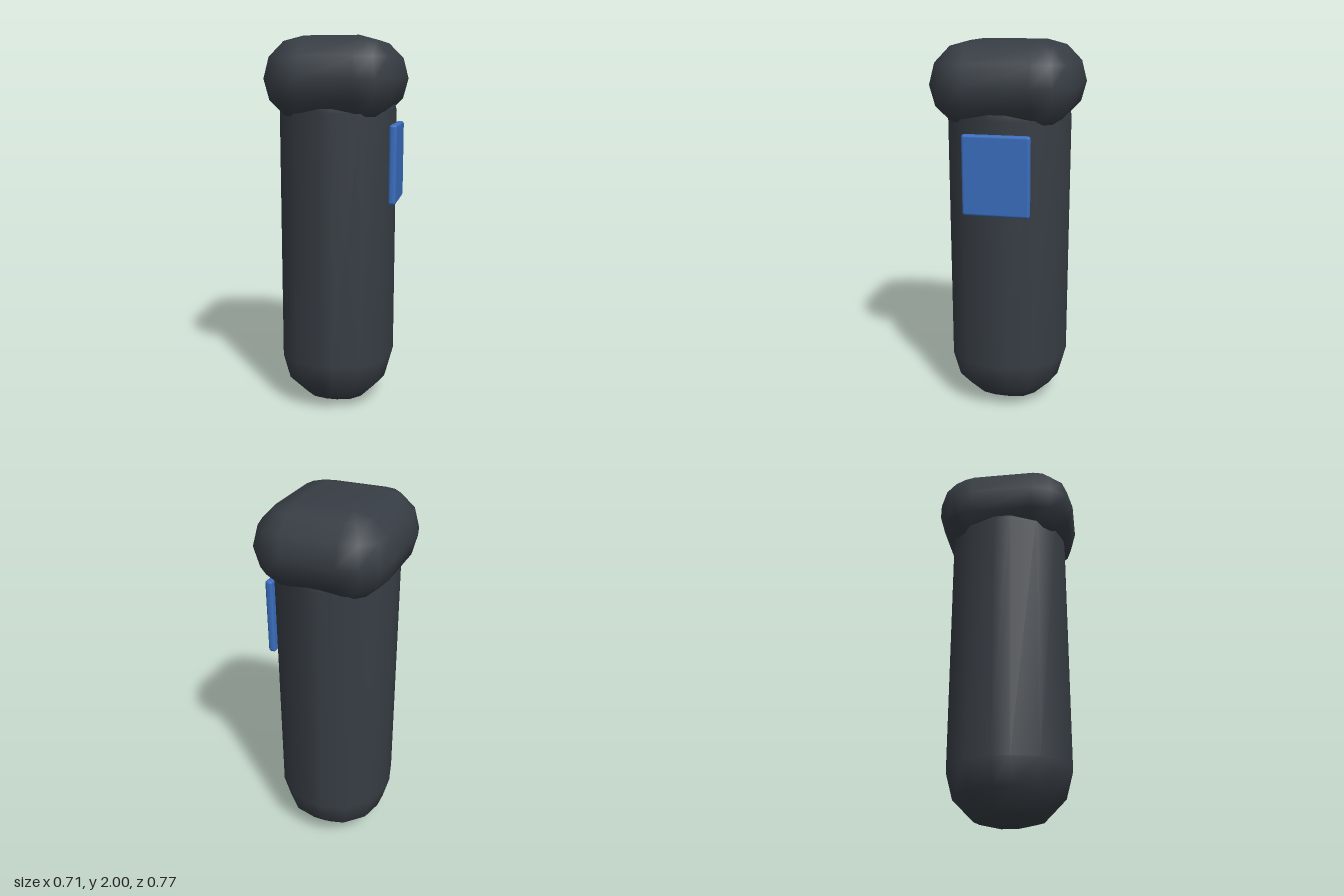
import * as THREE from 'three';
import { mergeVertices } from 'three/addons/utils/BufferGeometryUtils.js';

const STEPS = 3; // segments per rounded quarter turn

// Box with rounded edges and corners, built from stacked horizontal rings
function roundedBlock(width, height, depth, r) {
  const cx = width / 2 - r, cy = height / 2 - r, cz = depth / 2 - r;
  const positions = [], index = [];
  const ringSize = 4 * (STEPS + 1);
  const rings = 2 * (STEPS + 1);
  for (let i = 0; i < rings; i++) {
    const upper = i > STEPS;
    const lat = ((upper ? i - STEPS - 1 : i - STEPS) / STEPS) * Math.PI / 2;
    const y = (upper ? cy : -cy) + r * Math.sin(lat);
    for (let c = 0; c < 4; c++) {
      const sx = c === 0 || c === 3 ? 1 : -1;
      const sz = c < 2 ? 1 : -1;
      for (let k = 0; k <= STEPS; k++) {
        const a = (c + k / STEPS) * Math.PI / 2;
        positions.push(
          sx * cx + r * Math.cos(lat) * Math.cos(a),
          y,
          sz * cz + r * Math.cos(lat) * Math.sin(a));
      }
    }
  }
  for (let i = 0; i < rings - 1; i++) {
    for (let j = 0; j < ringSize; j++) {
      const a = i * ringSize + j, b = i * ringSize + (j + 1) % ringSize;
      index.push(a, a + ringSize, b, b, a + ringSize, b + ringSize);
    }
  }
  // Flat caps join the four corner centres
  const n = STEPS + 1, t = (rings - 1) * ringSize;
  index.push(0, n, 2 * n, 0, 2 * n, 3 * n);
  index.push(t, t + 2 * n, t + n, t, t + 3 * n, t + 2 * n);

  const raw = new THREE.BufferGeometry();
  raw.setAttribute('position', new THREE.Float32BufferAttribute(positions, 3));
  raw.setIndex(index);
  const geometry = mergeVertices(raw, 1e-5);
  geometry.computeVertexNormals();
  return geometry;
}

export function createModel() {
  const group = new THREE.Group();
  group.name = 'roundedPost';

  const charcoal = new THREE.MeshStandardMaterial({ color: 0x373d44 });
  charcoal.name = 'charcoal';
  const blue = new THREE.MeshStandardMaterial({ color: 0x3a6ebf });
  blue.name = 'blue';

  const add = (name, size, radius, position, material) => {
    const mesh = new THREE.Mesh(roundedBlock(...size, radius), material);
    mesh.name = name;
    mesh.position.set(...position);
    group.add(mesh);
  };

  // Tall shaft, its upper end hidden in the cap
  add('shaft', [0.62, 1.9, 0.65], 0.28, [0, 0.95, 0], charcoal);
  // Wider pillow-shaped cap
  add('cap', [0.715, 0.43, 0.774], 0.215, [0, 1.785, 0], charcoal);
  // Panel on the left side
  add('sidePanel', [0.04, 0.415, 0.35], 0.014, [0.317, 1.348, 0], blue);

  return group;
}
